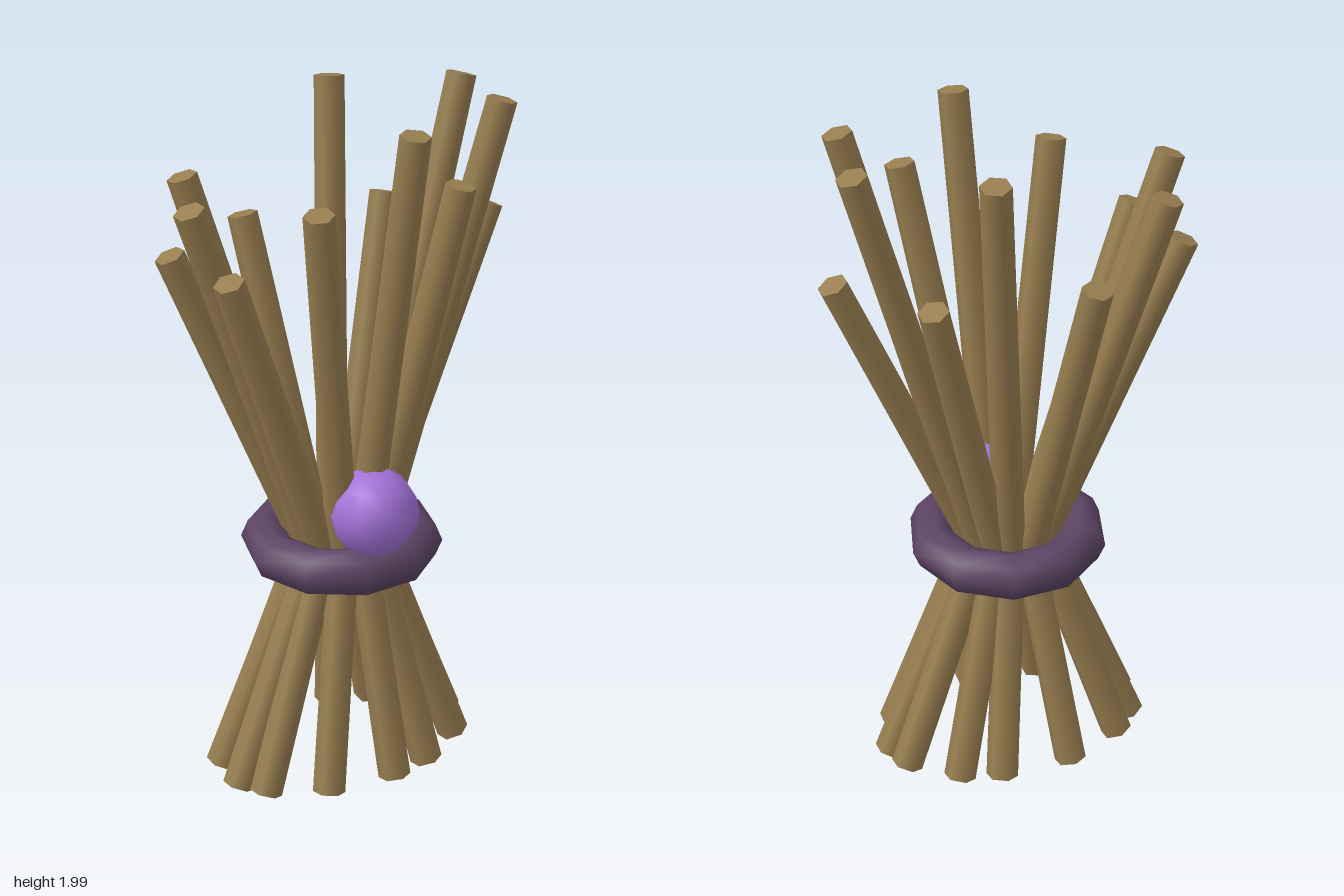
import * as THREE from 'three';

export function createModel() {
  const model = new THREE.Group();
  model.name = 'stickBundle';
  const straw = new THREE.MeshStandardMaterial({ color: 0x987e50 });
  straw.name = 'dry straw';
  const cord = new THREE.MeshStandardMaterial({ color: 0x5c4464 });
  cord.name = 'dark plum';
  const violet = new THREE.MeshStandardMaterial({ color: 0xa272d8 });
  violet.name = 'violet';

  // Hexagonal rod between two points
  const rod = (from, to, rTop, rBottom, name) => {
    const dir = to.clone().sub(from);
    const mesh = new THREE.Mesh(new THREE.CylinderGeometry(rTop, rBottom, dir.length(), 6), straw);
    mesh.position.copy(from).add(to).multiplyScalar(0.5);
    mesh.quaternion.setFromUnitVectors(new THREE.Vector3(0, 1, 0), dir.normalize());
    mesh.name = name;
    return mesh;
  };

  // Tip of every stick, in order around the bundle
  const tips = [
    [0.50, 1.63, -0.01], [0.47, 1.985, -0.11], [0.305, 1.63, -0.245], [0.15, 1.985, -0.295],
    [-0.135, 1.63, -0.30], [-0.375, 1.81, -0.21], [-0.47, 1.63, -0.12], [-0.50, 1.81, 0.045],
    [-0.44, 1.63, 0.14], [-0.235, 1.81, 0.255], [0.04, 1.985, 0.29], [0.21, 1.81, 0.26],
    [0.42, 1.985, 0.15],
  ];
  // Each stick bends at the tied waist and spreads again to the ground
  for (const [x, y, z] of tips) {
    const tip = new THREE.Vector3(x, y, z);
    const waist = new THREE.Vector3(x * 0.2, 0.7, z * 0.32);
    const foot = new THREE.Vector3(x * 0.76, 0.022, z * 0.82);
    const stick = new THREE.Group();
    stick.name = 'stick';
    stick.add(rod(waist, tip, 0.043, 0.046, 'upperStick'), rod(foot, waist, 0.044, 0.047, 'lowerStick'));
    model.add(stick);
  }

  // Binding ring around the waist
  const ring = new THREE.Mesh(new THREE.TorusGeometry(0.222, 0.068, 8, 10), cord);
  ring.rotation.x = Math.PI / 2;
  ring.position.y = 0.708;
  ring.name = 'bindingRing';
  model.add(ring);

  // Round bead on the front of the binding
  const bead = new THREE.Mesh(new THREE.SphereGeometry(0.129, 10, 8), violet);
  bead.position.set(0, 0.86, 0.165);
  bead.name = 'bead';
  model.add(bead);

  return model;
}
